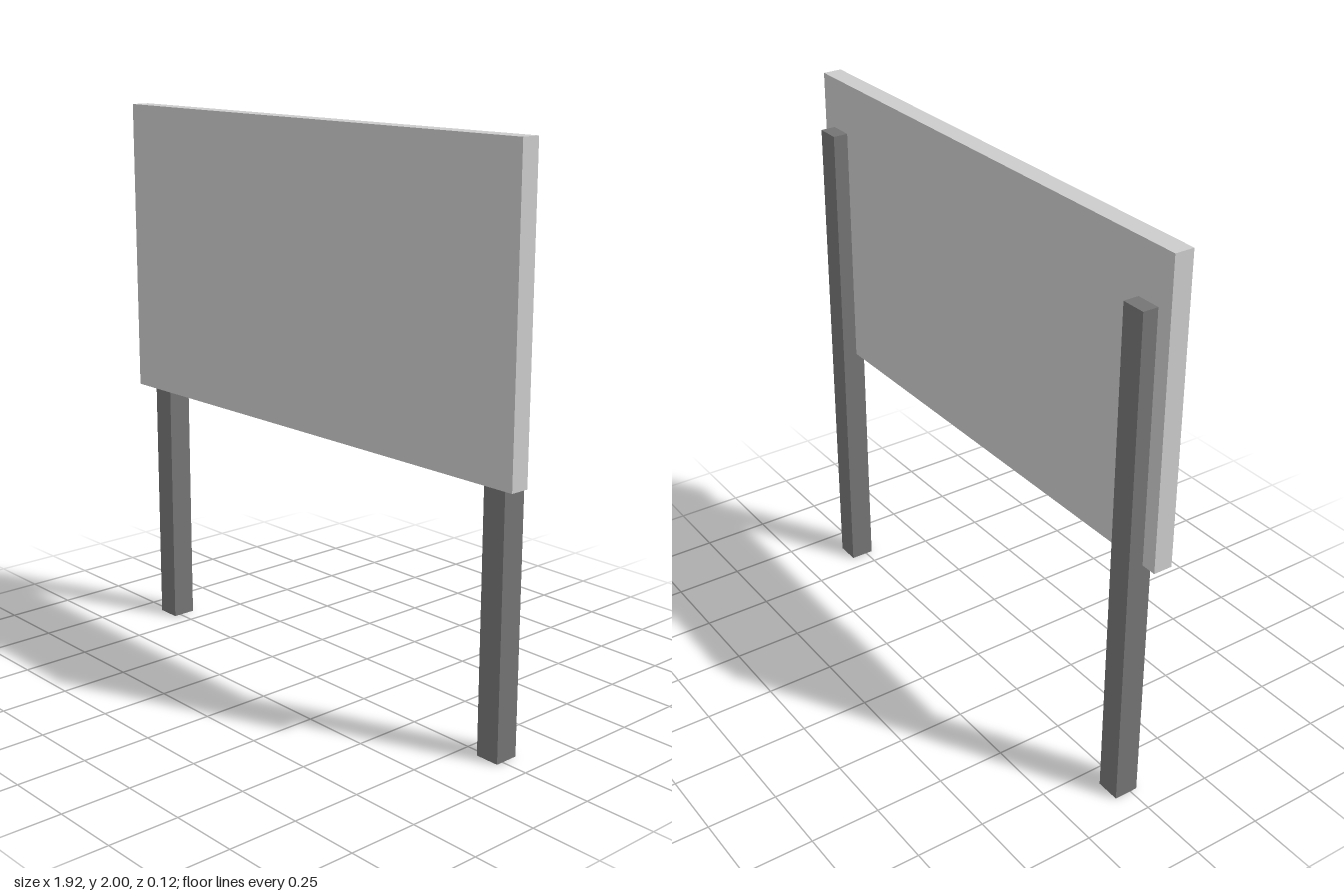
import * as THREE from 'three';

export function createModel() {
  const group = new THREE.Group();
  const panelMaterial = new THREE.MeshStandardMaterial({ color: 0xcccccc });
  const postMaterial = new THREE.MeshStandardMaterial({ color: 0x747474 });

  // Box given by its lower and upper corners
  const addBox = (name, [x0, y0, z0], [x1, y1, z1], material) => {
    const mesh = new THREE.Mesh(new THREE.BoxGeometry(x1 - x0, y1 - y0, z1 - z0), material);
    mesh.position.set((x0 + x1) / 2, (y0 + y1) / 2, (z0 + z1) / 2);
    mesh.name = name;
    group.add(mesh);
  };

  // Sign board
  addBox('signPanel', [-0.962, 0.93, -0.007], [0.962, 2, 0.062], panelMaterial);

  // Square posts, partly let into the back of the board
  for (const [name, x] of [['leftPost', 0.858], ['rightPost', -0.862]]) {
    addBox(name, [x - 0.044, 0, -0.062], [x + 0.044, 1.815, 0.026], postMaterial);
  }

  return group;
}
